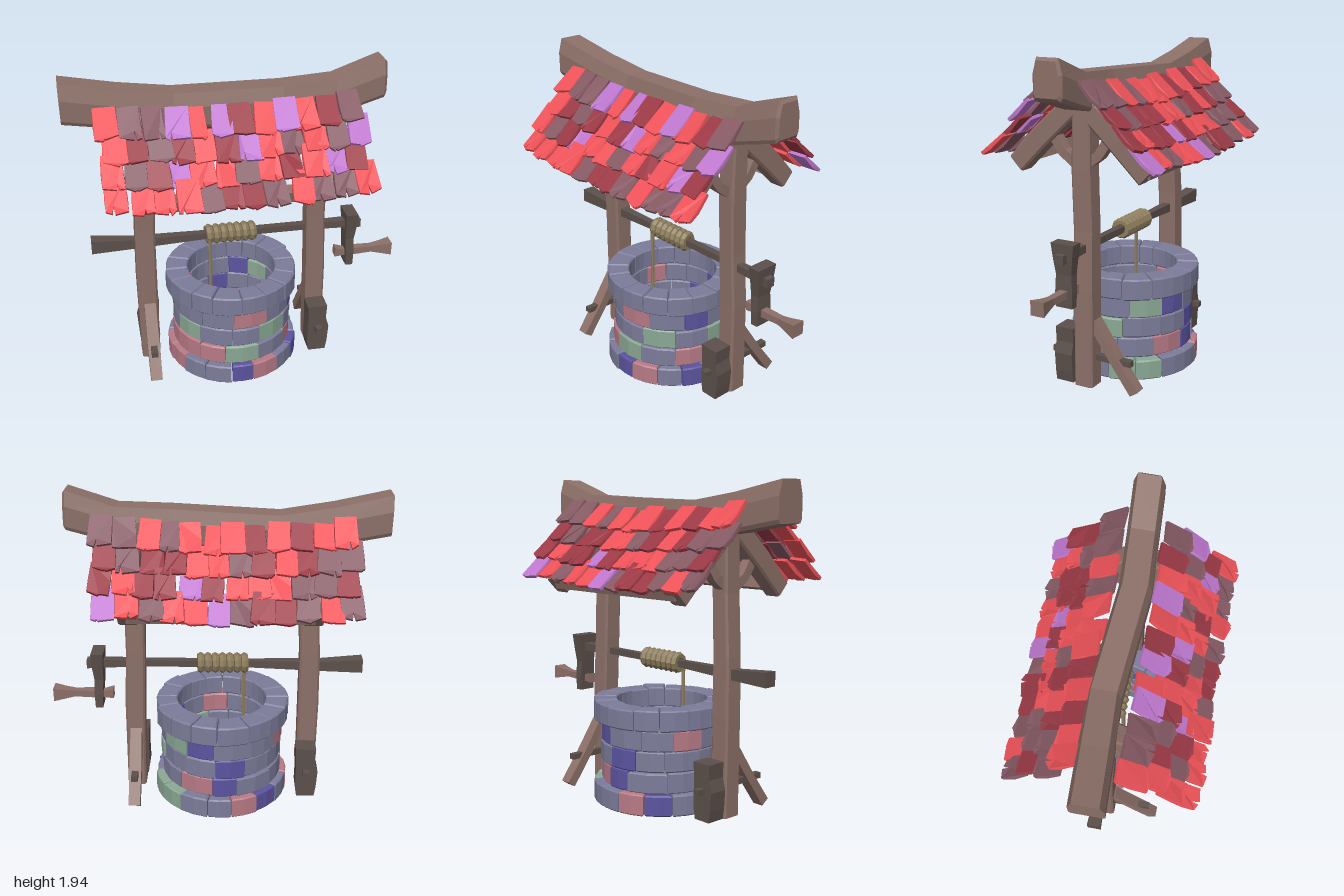
import * as THREE from 'three';

const material = (color) => new THREE.MeshStandardMaterial({ color, flatShading: true, side: THREE.DoubleSide });
const wood = material(0x8c7068);
const darkWood = material(0x5c504b);
const rope = material(0x8c7c5c);
const stone = { S: material(0x7c7c9a), P: material(0xb87a86), G: material(0x8aa894), I: material(0x5c54a0) };
const tileColors = [0x9c3a46, 0xee5258, 0xbf78cf, 0x865a64, 0x9c3a46, 0xee5258].map(material);

let seed = 7;
const rand = (a, b) => {
  seed = (seed * 16807) % 2147483647;
  return a + (b - a) * (seed / 2147483647);
};

function add(parent, name, geometry, mat) {
  const mesh = new THREE.Mesh(geometry, mat);
  mesh.name = name;
  parent.add(mesh);
  return mesh;
}

// Hewn cross-sections in unit size, as [side, up]
const square = [[-0.5, -0.5], [0.5, -0.5], [0.5, 0.5], [-0.5, 0.5]];
const chamfered = [[-0.4, -0.5], [0.4, -0.5], [0.5, -0.4], [0.5, 0.4], [0.4, 0.5], [-0.4, 0.5], [-0.5, 0.4], [-0.5, -0.4]];
const ridgeSection = [[-0.44, -0.5], [0.44, -0.5], [0.5, -0.4], [0.5, 0.12], [0.37, 0.5], [-0.37, 0.5], [-0.5, 0.12], [-0.5, -0.4]];

// Timber lofted through stations [x, y, z, width, height]; width runs along `side`
function timber(stations, side, section = chamfered) {
  const centre = stations.map(([x, y, z]) => new THREE.Vector3(x, y, z));
  const u = side === 'x' ? new THREE.Vector3(1, 0, 0) : new THREE.Vector3(0, 0, 1);
  const dir = centre.at(-1).clone().sub(centre[0]).normalize();
  const v = u.clone().cross(dir).normalize();
  const rings = stations.map(([, , , w, h], i) => section.map(([a, b]) =>
    centre[i].clone().addScaledVector(u, a * w).addScaledVector(v, b * h)));
  const n = section.length, points = [];
  for (let i = 0; i < rings.length - 1; i++) {
    for (let j = 0; j < n; j++) {
      const k = (j + 1) % n, p = rings[i], q = rings[i + 1];
      points.push(p[j], q[j], q[k], p[j], q[k], p[k]);
    }
  }
  const first = rings[0], last = rings.at(-1);
  for (let j = 1; j < n - 1; j++) points.push(first[0], first[j], first[j + 1], last[0], last[j + 1], last[j]);
  const geometry = new THREE.BufferGeometry().setFromPoints(points);
  geometry.computeVertexNormals();
  return geometry;
}

// One wedge-shaped stone of a ring, spanning angles a0..a1 from the front
function brick(a0, a1, inner, outer, height) {
  const at = (r, a) => new THREE.Vector2(r * Math.sin(a), -r * Math.cos(a));
  const mid = (a0 + a1) / 2, bevel = 0.008;
  const o = outer - bevel, i = inner + bevel;
  const shape = new THREE.Shape([at(o, a0 + 0.025), at(o, mid), at(o, a1 - 0.025), at(i, a1 - 0.035), at(i, mid), at(i, a0 + 0.035)]);
  const geometry = new THREE.ExtrudeGeometry(shape, {
    depth: height - 2 * bevel, bevelThickness: bevel, bevelSize: bevel, bevelSegments: 1, steps: 1,
  });
  return geometry.translate(0, 0, bevel).rotateX(-Math.PI / 2);
}

function createWell() {
  const well = new THREE.Group();
  well.name = 'stoneWell';
  well.position.set(-0.04, 0, -0.03);
  const courses = ['PPSSIPSISGGSSPIS', 'PPPGSPSSPISS', 'SGSSGSGSSISS', 'SSSPSISGISSP', 'SSSSSSSSSSSSSSSS'];
  courses.forEach((course, row) => {
    const rim = row === 0 || row === 4, count = course.length, step = 2 * Math.PI / count;
    const seams = [...course].map((_, k) => -Math.PI / 2 + (k - 0.5 + row * 0.12 + rand(-0.13, 0.13)) * step);
    seams.push(seams[0] + 2 * Math.PI);
    [...course].forEach((c, k) => {
      const outer = (rim ? 0.41 : 0.374) + rand(-0.008, 0.008);
      const mesh = add(well, rim ? 'rimStone' : 'wallStone',
        brick(seams[k], seams[k + 1], 0.275, outer, 0.125 + rand(-0.005, 0.004)), stone[c]);
      mesh.position.y = 0.008 + row * 0.125;
    });
  });
  return well;
}

// Curved, chipped roof tile: lower edge at y = 0, outer face towards +z
function roofTile(w, length) {
  const h = w / 2, crack = rand(-0.3, 0.3) * w, deep = rand(0, 1) < 0.45 ? rand(0.03, 0.06) : 0.004;
  const shape = new THREE.Shape([
    [-h, rand(0, 0.025)], [crack - 0.008, rand(-0.01, 0.008)], [crack, deep], [crack + 0.008, rand(-0.01, 0.008)],
    [h, rand(0, 0.025)], [h * 1.03, length * 0.45], [h * 0.94, length], [-h * 0.94, length], [-h * 1.03, length * 0.45],
  ].map(([x, y]) => new THREE.Vector2(x, y)));
  const geometry = new THREE.ExtrudeGeometry(shape, { depth: 0.018, bevelEnabled: false });
  const p = geometry.attributes.position;
  for (let i = 0; i < p.count; i++) {
    const t = p.getY(i) / length;
    p.setZ(i, p.getZ(i) - 0.05 * t * (1 - t));
  }
  geometry.computeVertexNormals();
  return geometry;
}

function createRoofSlope(name) {
  const slope = new THREE.Group();
  slope.name = name;
  const cols = 12, pitch = 1.49 / cols;
  for (let row = 0; row < 4; row++) {
    for (let c = 0; c < cols; c++) {
      const x = (c - (cols - 1) / 2) * pitch + (row % 2 ? 0.018 : -0.012) + rand(-0.012, 0.012);
      const tile = add(slope, 'roofTile', roofTile(pitch * rand(0.94, 1.12), 0.2), tileColors[Math.floor(rand(0, 5.99))]);
      const sag = 0.045 * (x / 0.75) ** 2 - 0.015;
      tile.position.set(x, 1.645 - row * 0.104 + sag + rand(-0.008, 0.008), 0.255 + row * 0.094 + rand(-0.012, 0.012));
      tile.rotation.set(-Math.PI / 2 + 0.69 + rand(-0.06, 0.06), rand(-0.07, 0.07), rand(-0.07, 0.07));
    }
  }
  slope.position.x = -0.065;
  return slope;
}

function createFrame() {
  const frame = new THREE.Group();
  frame.name = 'timberFrame';
  // Sagging ridge beam
  add(frame, 'ridgeBeam', timber([
    [-1, 1.81, -0.015, 0.19, 0.23], [-0.68, 1.75, -0.03, 0.19, 0.22], [-0.37, 1.71, -0.045, 0.185, 0.21],
    [0.25, 1.73, 0.008, 0.185, 0.21], [0.56, 1.745, -0.008, 0.18, 0.21], [0.845, 1.835, -0.02, 0.18, 0.225],
    [0.86, 1.835, -0.02, 0.15, 0.19],
  ], 'z', ridgeSection), wood);
  // Posts, each with its footing
  add(frame, 'rightPost', timber([
    [-0.572, 0.02, -0.03, 0.115, 0.12], [-0.575, 0.6, -0.03, 0.125, 0.12], [-0.572, 0.95, -0.025, 0.12, 0.12],
    [-0.55, 1.3, -0.015, 0.115, 0.12], [-0.55, 1.7, -0.02, 0.115, 0.11],
  ], 'x'), wood);
  add(frame, 'leftPost', timber([
    [0.5, 0.02, -0.03, 0.115, 0.12], [0.495, 0.6, -0.03, 0.12, 0.12], [0.482, 0.95, -0.025, 0.115, 0.12],
    [0.48, 1.3, -0.015, 0.12, 0.12], [0.48, 1.7, -0.02, 0.115, 0.11],
  ], 'x'), wood);
  for (const s of [1, -1]) {
    const x = s > 0 ? 0.493 : -0.567, z = (d) => -0.03 + s * d;
    add(frame, 'footBlock', timber([
      [x, 0.025, z(0.128), 0.11, 0.115], [x, 0.09, z(0.128), 0.13, 0.115], [x + s * 0.005, 0.2, z(0.128), 0.135, 0.115],
      [x - s * 0.005, 0.27, z(0.128), 0.115, 0.115], [x - s * 0.005, 0.36, z(0.128), 0.125, 0.115],
    ], 'x', square), darkWood);
    add(frame, 'footBrace', timber([
      [x, 0.03, z(-0.32), 0.07, 0.06], [x, 0.2, z(-0.195), 0.075, 0.055], [x, 0.42, z(-0.045), 0.07, 0.06],
    ], 'x', square), wood);
    add(frame, 'footPeg', timber([[x, 0.2, z(0.23), 0.04, 0.035], [x, 0.2, z(-0.29), 0.04, 0.035]], 'x', square), darkWood);
  }
  // Rafters, curved braces and eave beams on both slopes
  for (const s of [1, -1]) {
    for (const x of [-0.553, 0.482]) {
      add(frame, 'rafter', timber([
        [x, 1.30, s * 0.417, 0.11, 0.115], [x, 1.475, s * 0.245, 0.115, 0.125], [x, 1.69, s * 0.01, 0.11, 0.12],
      ], 'x'), wood);
      add(frame, 'curvedBrace', timber([
        [x, 1.33, s * 0.03, 0.055, 0.06], [x, 1.39, s * 0.115, 0.06, 0.055], [x, 1.52, s * 0.205, 0.055, 0.06],
      ], 'x', square), wood);
    }
    const eave = add(frame, 'eaveBeam', timber([[-0.56, 0, 0, 0.07, 0.075], [0, -0.005, 0, 0.065, 0.07], [0.49, 0, 0, 0.07, 0.075]], 'z', square), wood);
    eave.position.set(0, 1.33, s * 0.4);
    eave.rotation.x = s * 0.3;
  }
  return frame;
}

function createWindlass() {
  const windlass = new THREE.Group();
  windlass.name = 'windlass';
  windlass.position.z = -0.028;
  add(windlass, 'axle', timber([
    [-0.895, 0.86, 0, 0.08, 0.085], [-0.64, 0.853, 0, 0.06, 0.06], [-0.2, 0.86, 0, 0.045, 0.04],
    [0.4, 0.862, 0, 0.045, 0.04], [0.68, 0.86, 0, 0.055, 0.05], [0.785, 0.856, 0, 0.055, 0.055],
  ], 'z', square), darkWood);
  add(windlass, 'crankArm', timber([
    [0.718, 0.57, 0, 0.045, 0.105], [0.718, 0.66, 0, 0.05, 0.11], [0.712, 0.76, 0, 0.055, 0.1],
    [0.716, 0.84, 0, 0.065, 0.12], [0.716, 0.94, 0, 0.075, 0.145],
  ], 'x', square), darkWood);
  add(windlass, 'crankHandle', timber([
    [0.63, 0.655, 0, 0.06, 0.06], [0.68, 0.65, 0, 0.045, 0.045], [0.76, 0.65, 0, 0.05, 0.045],
    [0.87, 0.652, 0, 0.045, 0.04], [0.93, 0.65, 0, 0.06, 0.06], [1, 0.65, 0, 0.085, 0.085],
  ], 'z', square), wood);
  // Rope wound on the axle, with its free end hanging into the well
  for (let i = 0; i < 7; i++) {
    const coil = add(windlass, 'ropeCoil', new THREE.TorusGeometry(0.042, 0.023, 6, 10), rope);
    coil.position.set(-0.178 + i * 0.0445, 0.862, 0);
    coil.rotation.y = Math.PI / 2 + 0.12;
  }
  const hanging = add(windlass, 'hangingRope', new THREE.CylinderGeometry(0.012, 0.012, 0.4, 6), rope);
  hanging.position.set(-0.177, 0.65, 0.045);
  return windlass;
}

export function createModel() {
  const model = new THREE.Group();
  model.name = 'wishingWell';
  const backSlope = createRoofSlope('backRoof');
  backSlope.rotation.y = Math.PI;
  model.add(createWell(), createFrame(), createWindlass(), createRoofSlope('frontRoof'), backSlope);
  return model;
}
